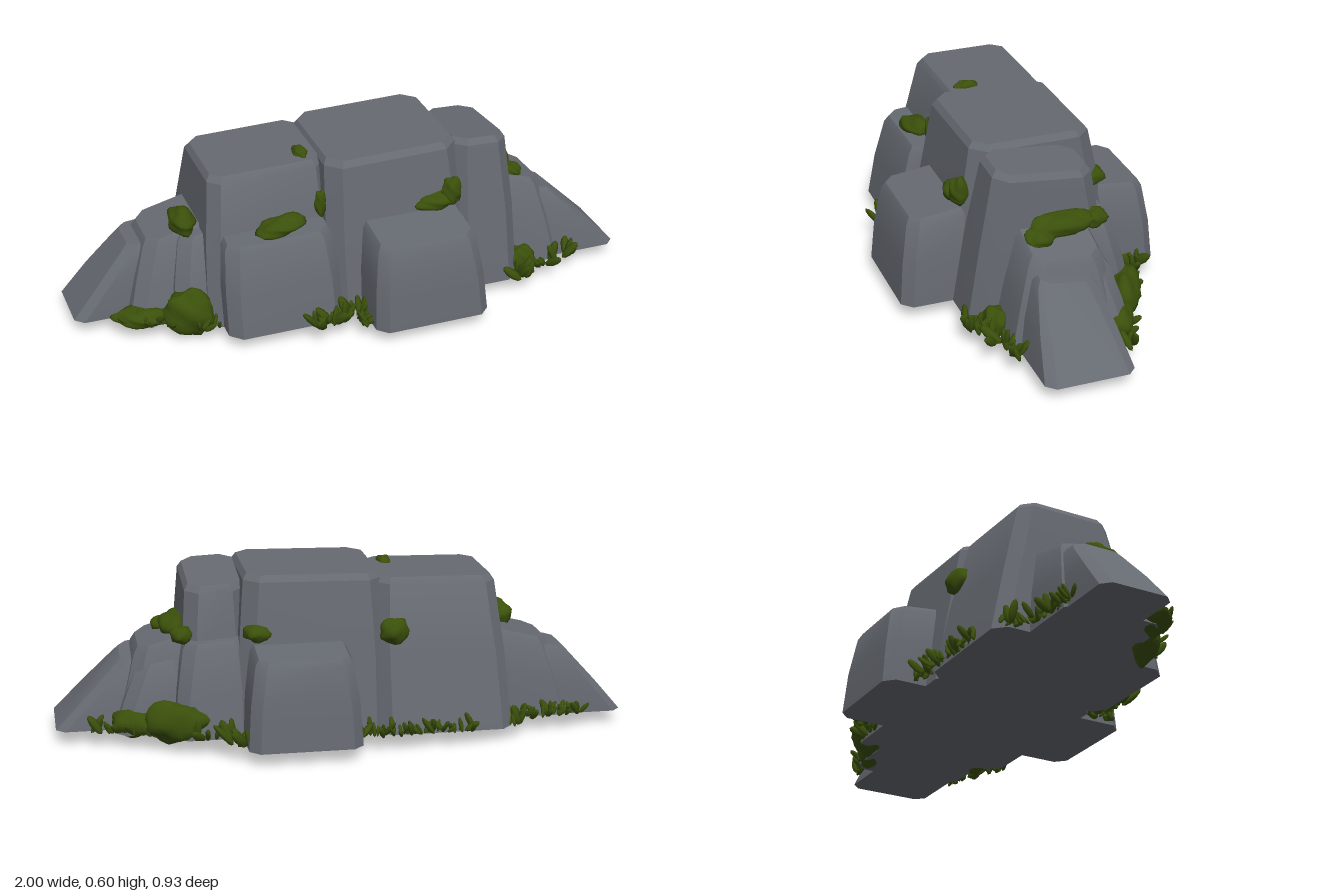
import * as THREE from 'three';
import { mergeGeometries, toCreasedNormals } from 'three/addons/utils/BufferGeometryUtils.js';
import { ConvexGeometry } from 'three/addons/geometries/ConvexGeometry.js';

const rockMat = new THREE.MeshStandardMaterial({ name: 'slate grey', color: 0x666a71 });
const mossMat = new THREE.MeshStandardMaterial({ name: 'moss green', color: 0x3b500b });

// Small seeded generator for natural variation
function seeded(seed) {
  let s = seed;
  return () => (s = (s * 16807) % 2147483647) / 2147483647;
}
const rand = seeded(4711);
const spread = (a) => (rand() - 0.5) * 2 * a;

// Rectangle [x0, x1, z0, z1] with cut corners, heights given by y(x, z)
function ring([x0, x1, z0, z1], cut, y) {
  const pts = [[x0 + cut, z0], [x1 - cut, z0], [x1, z0 + cut], [x1, z1 - cut],
    [x1 - cut, z1], [x0 + cut, z1], [x0, z1 - cut], [x0, z0 + cut]];
  return pts.map(([x, z]) => new THREE.Vector3(x, y(x, z), z));
}

// Tapered boulder with worn edges; the top tilts by tx and tz
function boulder(name, base, top, h, tx = 0, tz = 0, cut = 0.03) {
  const cx = (top[0] + top[1]) / 2, cz = (top[2] + top[3]) / 2;
  const topY = (x, z) => h + tx * (x - cx) + tz * (z - cz);
  const mix = (t) => base.map((b, i) => b + (top[i] - b) * t);
  const inset = (r, d) => [r[0] + d, r[1] - d, r[2] + d, r[3] - d];
  const grow = (r, d) => inset(r, -d);
  const points = [
    ...ring(base, cut, () => 0.008),
    ...ring(grow(mix(0.5), 0.006), cut, (x, z) => topY(x, z) * 0.5),
    ...ring(mix(0.95), cut, (x, z) => topY(x, z) - 0.022),
    ...ring(inset(top, 0.012), cut * 0.9, topY),
  ];
  const mesh = new THREE.Mesh(toCreasedNormals(new ConvexGeometry(points), 0.45), rockMat);
  mesh.name = name;
  return mesh;
}

// Lumpy cushion of moss
function mossPad(name, [x, y, z], [rx, ry, rz], turn = 0, tilt = 0) {
  const geo = new THREE.SphereGeometry(1, 20, 12);
  const p = geo.attributes.position, v = new THREE.Vector3();
  const phase = x * 17 + z * 29;
  for (let i = 0; i < p.count; i++) {
    v.fromBufferAttribute(p, i);
    const k = 1 + 0.12 * Math.sin(v.x * 4 + phase) * Math.cos(v.z * 5 + phase) + 0.07 * Math.sin(v.y * 6 + v.x * 5);
    p.setXYZ(i, v.x * k * rx, v.y * k * ry, v.z * k * rz);
  }
  geo.computeVertexNormals();
  const mesh = new THREE.Mesh(geo, mossMat);
  mesh.name = name;
  mesh.position.set(x, y, z);
  mesh.rotation.set(0, turn, tilt);
  return mesh;
}

// Row of stubby leaves along the ground from a to b, given as [x, z]
function leafRow(name, a, b, count, size) {
  const parts = [];
  for (let i = 0; i < count; i++) {
    const t = (i + 0.5) / count;
    const len = size * (0.65 + rand() * 0.6);
    const leaf = new THREE.SphereGeometry(1, 6, 5);
    leaf.scale(len * 0.2, len * 0.5, len * 0.13);
    leaf.translate(0, len * 0.42, 0);
    leaf.rotateX(spread(0.8));
    leaf.rotateZ(spread(0.9));
    leaf.rotateY(rand() * 6.28);
    leaf.translate(a[0] + (b[0] - a[0]) * t + spread(0.015), 0.016, a[1] + (b[1] - a[1]) * t + spread(0.018));
    parts.push(leaf);
  }
  const geo = mergeGeometries(parts);
  const p = geo.attributes.position;
  for (let i = 0; i < p.count; i++) p.setY(i, Math.max(0, p.getY(i)));
  const mesh = new THREE.Mesh(geo, mossMat);
  mesh.name = name;
  return mesh;
}

export function createModel() {
  const model = new THREE.Group();
  model.name = 'mossyRockOutcrop';

  // Stone blocks: base rectangle, top rectangle, height, tilt
  const rocks = new THREE.Group();
  rocks.name = 'rocks';
  rocks.add(
    boulder('centreRock', [-0.14, 0.39, -0.32, 0.29], [-0.13, 0.35, -0.22, 0.2], 0.555, 0.02, 0, 0.05),
    boulder('leftTallRock', [-0.57, -0.1, -0.35, 0.23], [-0.525, -0.11, -0.22, 0.12], 0.53, 0.02, 0, 0.04),
    boulder('rightTallRock', [0.33, 0.57, -0.22, 0.29], [0.34, 0.545, -0.15, 0.19], 0.53, -0.04, 0.1, 0.045),
    boulder('frontRock', [-0.04, 0.375, 0.1, 0.465], [-0.02, 0.335, 0.1, 0.425], 0.33, 0, -0.12, 0.035),
    boulder('backRock', [-0.02, 0.37, -0.468, -0.1], [0.01, 0.34, -0.43, -0.1], 0.33, 0, 0.12, 0.035),
    boulder('frontLeftRock', [-0.525, -0.11, 0, 0.33], [-0.51, -0.13, 0, 0.26], 0.335, 0.02, -0.08, 0.04),
    boulder('backRightRock', [0.33, 0.6, -0.29, 0.0], [0.34, 0.56, -0.22, 0.0], 0.34, -0.08, 0.1, 0.04),
    boulder('leftStepRock', [-0.82, -0.48, -0.23, 0.13], [-0.74, -0.5, -0.19, 0.05], 0.305, 0.25, 0, 0.04),
    boulder('leftFootRock', [-0.68, -0.45, -0.12, 0.19], [-0.63, -0.45, -0.08, 0.1], 0.31, 0.15, 0, 0.04),
    boulder('leftEndRock', [-1, -0.65, -0.22, 0.04], [-0.8, -0.65, -0.19, 0.0], 0.255, 0.1, 0, 0.03),
    boulder('rightStepRock', [0.5, 0.78, -0.17, 0.21], [0.5, 0.72, -0.12, 0.13], 0.325, -0.3, 0.05, 0.04),
    boulder('rightEndRock', [0.65, 1, -0.12, 0.19], [0.68, 0.78, -0.07, 0.13], 0.25, -0.15, 0.12, 0.03),
  );
  // Outer end of the right step, leaning back
  rocks.add(boulder('rightBackFootRock', [0.52, 0.8, -0.2, 0.05], [0.55, 0.72, -0.15, 0.0], 0.25, -0.2, 0, 0.04));
  model.add(rocks);

  // Moss resting on ledges and along the foot
  const moss = new THREE.Group();
  moss.name = 'moss';
  moss.add(
    mossPad('frontLeftLedgeMoss', [-0.3, 0.348, 0.195], [0.09, 0.03, 0.05], 0.1, 0.15),
    mossPad('frontLedgeMoss', [0.26, 0.36, 0.235], [0.08, 0.03, 0.04], 0, 0.1),
    mossPad('frontLedgeMossUpper', [0.31, 0.39, 0.24], [0.035, 0.05, 0.035]),
    mossPad('backLedgeMoss', [0.31, 0.365, -0.24], [0.05, 0.03, 0.045]),
    mossPad('backLeftCreviceMoss', [-0.16, 0.36, -0.27], [0.055, 0.045, 0.04], 0.4),
    mossPad('leftLedgeMoss', [-0.6, 0.33, 0.01], [0.045, 0.045, 0.075], 0, 0.5),
    mossPad('rightLedgeMoss', [0.585, 0.358, -0.02], [0.05, 0.032, 0.11], 0, -0.3),
    mossPad('rightLedgeMossFront', [0.61, 0.335, 0.07], [0.045, 0.025, 0.05], 0, -0.3),
    mossPad('rightLedgeMossBack', [0.56, 0.345, -0.14], [0.04, 0.03, 0.05], 0, -0.2),
    mossPad('topCreviceMoss', [-0.18, 0.53, 0.04], [0.025, 0.022, 0.045]),
    mossPad('frontCreviceMoss', [-0.155, 0.4, 0.185], [0.02, 0.05, 0.02]),
    mossPad('leftFootMoss', [-0.63, 0.055, 0.17], [0.09, 0.085, 0.05], -0.35, 0.1),
    mossPad('leftFootMossOuter', [-0.78, 0.035, 0.11], [0.1, 0.032, 0.05], -0.35),
    mossPad('backRightFootMoss', [0.6, 0.065, -0.24], [0.11, 0.07, 0.06], -0.35, -0.1),
    mossPad('backRightFootMossOuter', [0.73, 0.045, -0.17], [0.09, 0.045, 0.05], -0.4),
    mossPad('rightFootMoss', [0.6, 0.045, 0.215], [0.055, 0.045, 0.04], 0.2, -0.3),
  );
  model.add(moss);

  // Leafy tufts around the ground line
  const leaves = new THREE.Group();
  leaves.name = 'groundLeaves';
  leaves.add(
    leafRow('leftFrontLeaves', [-0.85, 0.1], [-0.55, 0.24], 26, 0.065),
    leafRow('frontCreviceLeaves', [-0.23, 0.35], [-0.06, 0.34], 22, 0.08),
    leafRow('frontSeamLeaves', [-0.08, 0.32], [-0.07, 0.42], 8, 0.07),
    leafRow('rightFrontLeaves', [0.55, 0.28], [0.82, 0.22], 20, 0.075),
    leafRow('rightTuft', [0.56, 0.33], [0.6, 0.29], 5, 0.08),
    leafRow('backRightLeaves', [0.42, -0.32], [0.87, -0.15], 34, 0.075),
    leafRow('backTuft', [0.37, -0.4], [0.43, -0.34], 8, 0.08),
    leafRow('backLeaves', [-0.43, -0.36], [-0.03, -0.36], 34, 0.06),
    leafRow('leftBackLeaves', [-0.85, -0.23], [-0.58, -0.27], 24, 0.06),
    leafRow('leftBackTuft', [-0.6, -0.26], [-0.57, -0.34], 7, 0.07),
  );
  model.add(leaves);
  return model;
}
